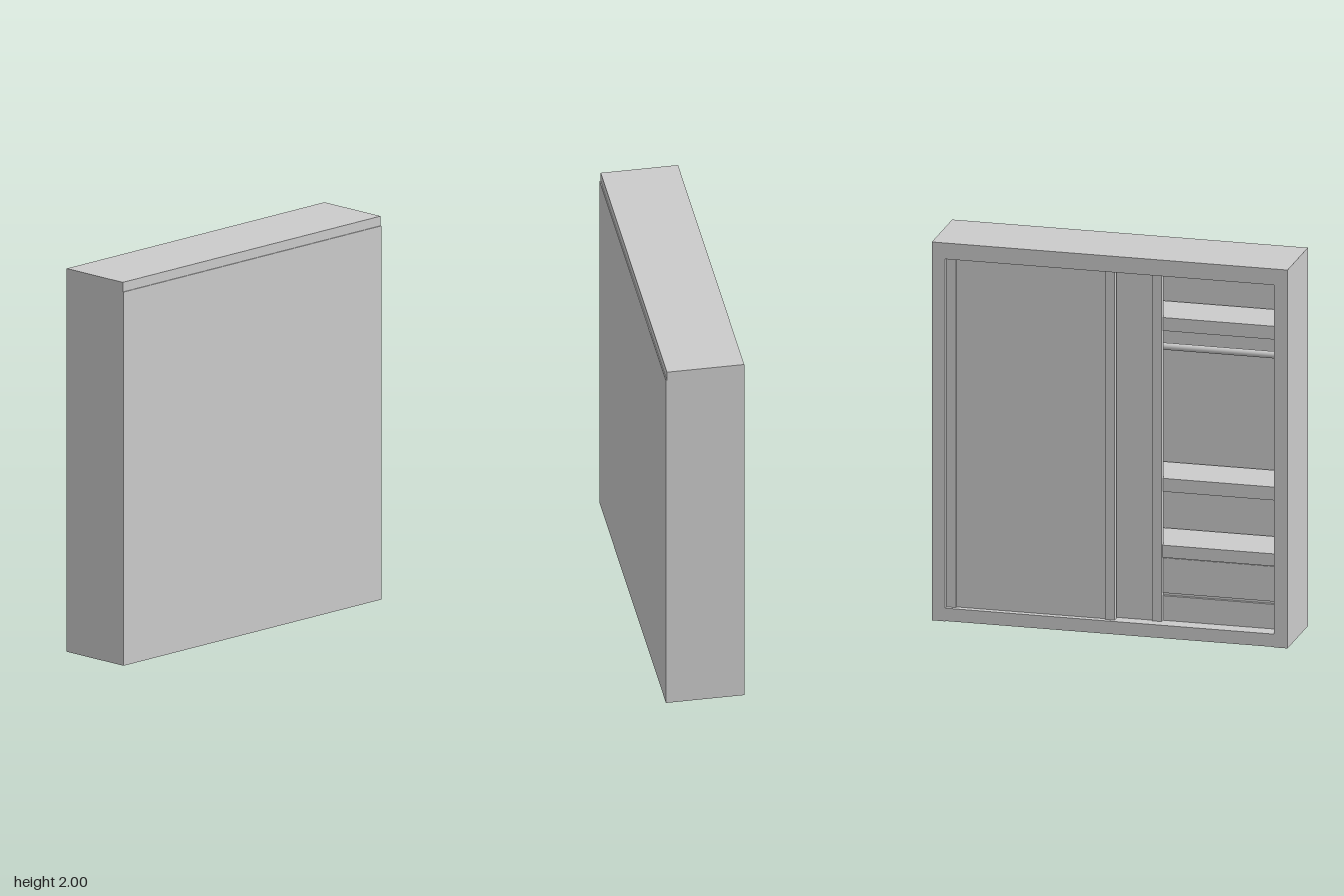
import * as THREE from 'three';

export function createModel() {
  const root = new THREE.Group();
  const grey = new THREE.MeshStandardMaterial({ color: 0xcccccc });

  // Box given by its min and max on each axis
  const slab = (name, [x0, x1], [y0, y1], [z0, z1], parent = root) => {
    const mesh = new THREE.Mesh(new THREE.BoxGeometry(x1 - x0, y1 - y0, z1 - z0), grey);
    mesh.position.set((x0 + x1) / 2, (y0 + y1) / 2, (z0 + z1) / 2);
    mesh.name = name;
    parent.add(mesh);
    return mesh;
  };

  // Carcass: open towards -x
  const wall = 0.86, end = 0.93, floorY = 0.07, ceilY = 1.915;
  slab('endPanelNear', [-0.2, 0.197], [0, 2], [wall, end]);
  slab('endPanelFar', [-0.2, 0.197], [0, 2], [-end, -wall]);
  slab('topPanel', [-0.2, 0.197], [ceilY, 2], [-wall, wall]);
  slab('plinth', [-0.2, 0.19], [0.002, floorY], [-wall, wall]);
  slab('backPanel', [0.187, 0.202], [0, 1.95], [-end, end]);
  slab('partition', [-0.11, 0.187], [floorY, ceilY], [-0.02, 0.02]);

  // Two overlapping sliding doors, each with slim edge profiles
  const slidingDoor = (name, x, z0, z1) => {
    const door = new THREE.Group();
    door.name = name;
    slab('doorPanel', [x, x + 0.02], [floorY, ceilY], [z0, z1], door);
    for (const z of [z0, z1 - 0.05]) {
      slab('edgeProfile', [x - 0.012, x + 0.024], [floorY, ceilY], [z, z + 0.05], door);
    }
    root.add(door);
  };
  slidingDoor('outerDoor', -0.165, -wall, 0.02);
  slidingDoor('innerDoor', -0.128, -0.625, 0.255);

  // Interior fittings, the same in both compartments
  for (const side of [1, -1]) {
    const bay = new THREE.Group();
    bay.name = side > 0 ? 'nearCompartment' : 'farCompartment';
    const span = (a, b) => (side > 0 ? [a, b] : [-b, -a]);
    const front = side > 0 ? -0.115 : -0.09;

    slab('upperShelf', [front, 0.165], [1.6, 1.67], span(0.02, wall), bay);
    slab('middleShelf', [front, 0.165], [0.75, 0.82], span(0.02, wall), bay);
    slab('drawerTop', [front - 0.01, 0.165], [0.405, 0.47], span(0.02, wall), bay);
    slab('drawerUpper', [front, 0.165], [0.215, 0.4], span(0.025, wall - 0.004), bay);
    slab('drawerLower', [front, 0.165], [floorY, 0.2], span(0.025, wall - 0.004), bay);
    slab('drawerBody', [front + 0.015, 0.16], [floorY, 0.405], span(0.02, wall), bay);

    const rail = new THREE.Mesh(new THREE.CylinderGeometry(0.018, 0.018, wall - 0.02, 20), grey);
    rail.name = 'hangingRail';
    rail.rotation.x = Math.PI / 2;
    rail.position.set(-0.055, 1.5, side * (wall + 0.02) / 2);
    bay.add(rail);
    root.add(bay);
  }
  return root;
}
